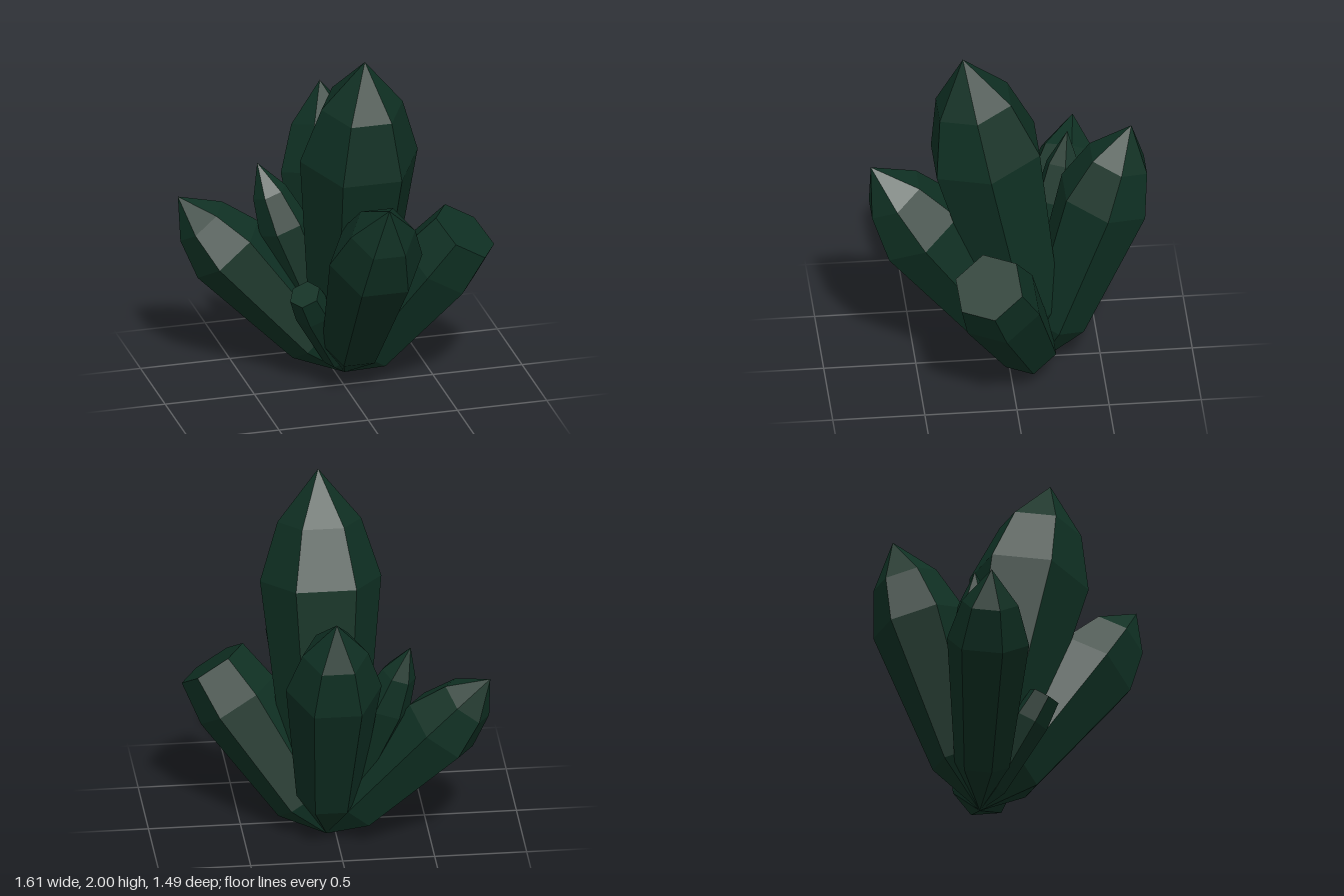
import * as THREE from 'three';

// All crystals fan out from one shared root point.
const ROOT = new THREE.Vector3(0.05, 0, -0.16);

// Six-sided profiles: [radius factor, fraction of length]
const POINTED = [[0, 0], [0.67, 0.19], [1, 0.7], [0.69, 0.86], [0, 1]];
const BLUNT = [[0, 0], [0.7, 0.2], [1, 0.78], [0.84, 1], [0, 1]];

// name, tip (centre of the end), shoulder radius, profile
const CRYSTALS = [
  ['mainCrystal', [0.05, 2.0, 0.25], 0.33, POINTED],
  ['frontCrystal', [0.05, 1.33, 0.75], 0.26, POINTED],
  ['backCrystal', [0.05, 1.51, -0.665], 0.26, POINTED],
  ['rightCrystal', [-0.81, 1.02, -0.43], 0.225, POINTED],
  ['rightSmallCrystal', [-0.385, 1.2, -0.36], 0.14, POINTED],
  ['leftBluntCrystal', [0.635, 0.9, 0.165], 0.235, BLUNT],
  ['rightBluntStub', [-0.245, 0.6, 0.1], 0.105, BLUNT],
];

export function createModel() {
  const group = new THREE.Group();
  group.name = 'crystalCluster';
  const material = new THREE.MeshStandardMaterial({ color: 0x0f3023, flatShading: true });
  const up = new THREE.Vector3(0, 1, 0);

  for (const [name, tip, radius, profile] of CRYSTALS) {
    const axis = new THREE.Vector3(...tip).sub(ROOT);
    const length = axis.length();
    const points = profile.map(([r, t]) => new THREE.Vector2(r * radius, t * length));
    // Start at +x so that two ridges lie in the side-to-side plane
    const geometry = new THREE.LatheGeometry(points, 6, Math.PI / 2);
    const crystal = new THREE.Mesh(geometry, material);
    crystal.name = name;
    crystal.position.copy(ROOT);
    crystal.quaternion.setFromUnitVectors(up, axis.normalize());
    group.add(crystal);
  }
  return group;
}
